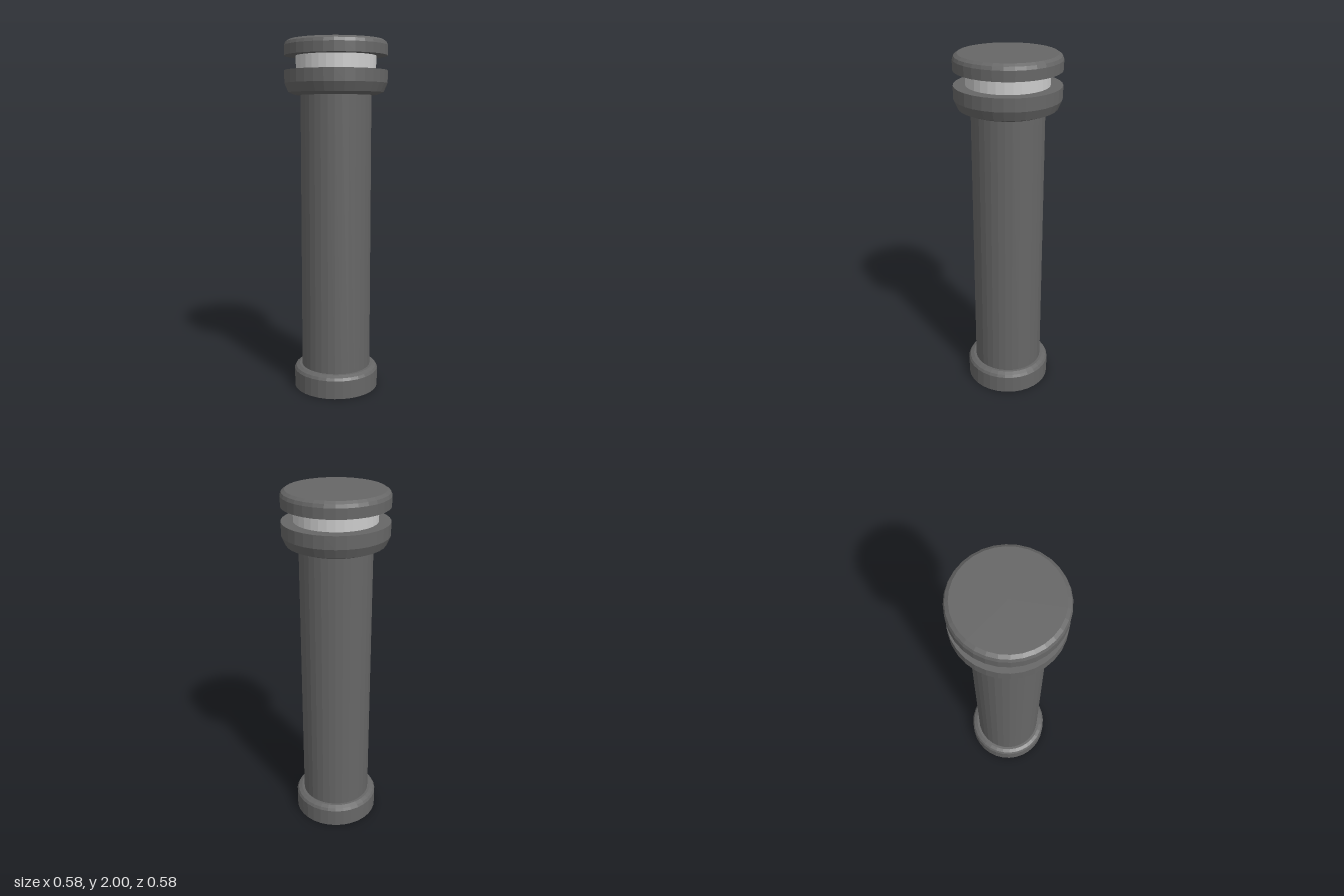
import * as THREE from 'three';

const SIDES = 32;

// Solid of revolution from [radius, height] pairs, listed bottom to top
function turned(name, profile, material) {
  const points = profile.map(([r, y]) => new THREE.Vector2(r, y));
  const mesh = new THREE.Mesh(new THREE.LatheGeometry(points, SIDES), material);
  mesh.name = name;
  return mesh;
}

export function createModel() {
  const group = new THREE.Group();
  group.name = 'bollardLight';
  const metal = new THREE.MeshStandardMaterial({ color: 0x666666, flatShading: true });
  const glass = new THREE.MeshStandardMaterial({ color: 0xcccccc, flatShading: true });

  group.add(
    // Foot with a bevelled top edge
    turned('base', [[0, 0], [0.245, 0], [0.245, 0.105], [0.236, 0.12], [0.215, 0.13], [0, 0.13]], metal),
    turned('post', [[0, 0.12], [0.2, 0.12], [0.2, 1.71], [0, 1.71]], metal),
    // Collar that tapers in below
    turned('collar', [[0, 1.7], [0.23, 1.7], [0.268, 1.715], [0.29, 1.765], [0.29, 1.835], [0, 1.835]], metal),
    // Light ring between collar and cap
    turned('lens', [[0, 1.83], [0.225, 1.83], [0.225, 1.92], [0, 1.92]], glass),
    turned('cap', [[0, 1.915], [0.29, 1.915], [0.29, 1.97], [0.283, 1.988], [0.265, 2], [0, 2]], metal),
  );
  return group;
}
